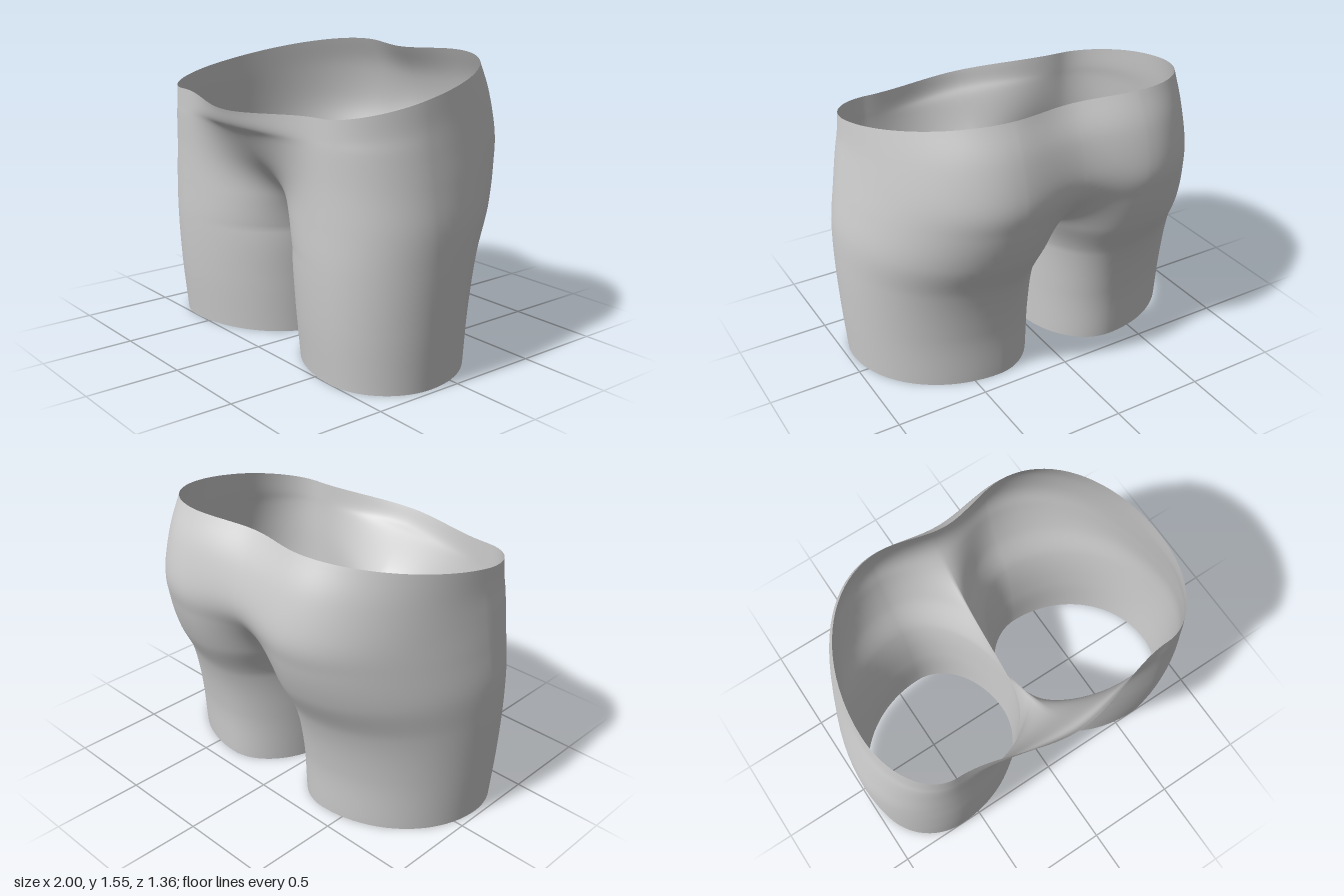
import * as THREE from 'three';
import { mergeGeometries, mergeVertices } from 'three/addons/utils/BufferGeometryUtils.js';

// Levels: height, forward tilt, z of centre front, z of thigh front, x of hip, z of seat, z of centre back
const LEVELS = [
  [0, 0, .04, .5, .97, -.405, .04],
  [.3, 0, .05, .53, .99, -.425, .05],
  [.6, 0, .05, .545, 1, -.495, .05],
  [.8, 0, .26, .545, .995, -.595, -.32],
  [1, 0, .46, .545, .965, -.66, -.56],
  [1.17, 0, .585, .55, .935, -.685, -.64],
  [1.3, .12, .64, .55, .915, -.64, -.6],
  [1.44, .2, .675, .55, .9, -.56, -.5],
];
const CROTCH = .6;    // height where the two legs join
const ROWS = 72;
const ARC = 22;       // faces in each quarter of a section
const HIP_Z = .15;    // depth of the widest point
const THIGH_X = .62;  // where the front is fullest
const SEAT_X = .36;   // where the back is fullest

// Curve from the inner seam (u = 0) to the fullest point (u = 1):
// round on a leg, an even wave where the body is joined
function innerArc(u, blend, x0, z0, x1, z1) {
  const a = u * Math.PI / 2;
  const fx = THREE.MathUtils.lerp(1 - Math.cos(a), u, blend);
  const fz = THREE.MathUtils.lerp(Math.sin(a), u * u * (3 - 2 * u), blend);
  return [x0 + (x1 - x0) * fx, z0 + (z1 - z0) * fz];
}

// Quarter ellipse from the fullest point (u = 0) to the hip (u = 1)
function outerArc(u, x0, z0, hip) {
  const a = u * Math.PI / 2;
  return [x0 + (hip - x0) * Math.sin(a), HIP_Z + (z0 - HIP_Z) * Math.cos(a)];
}

// Section from inner front, round the hip, to inner back
function section(y, front, thigh, hip, seat, back) {
  const inner = Math.max(0, .025 * (1 - y / CROTCH));
  const blend = THREE.MathUtils.smoothstep(y, CROTCH, 1.17);
  const points = [];
  for (let i = 0; i <= 4 * ARC; i++) {
    const q = Math.min(3, Math.floor(i / ARC));
    const u = i / ARC - q;
    if (q === 0) points.push(innerArc(u, blend, inner, front, THIGH_X, thigh));
    else if (q === 1) points.push(outerArc(u, THIGH_X, thigh, hip));
    else if (q === 2) points.push(outerArc(1 - u, SEAT_X, seat, hip));
    else points.push(innerArc(1 - u, blend, inner, back, SEAT_X, seat));
  }
  return points;
}

// One half: a closed tube below the crotch, an open half shell above it
function halfShell() {
  const spline = new THREE.CubicInterpolant(LEVELS.map((l) => l[0]), LEVELS.flat(), LEVELS[0].length);
  const top = LEVELS.at(-1)[0];
  const w = 4 * ARC + 1;
  const pos = [], index = [];
  for (let r = 0; r <= ROWS; r++) {
    const y = top * r / ROWS;
    const [, tilt, front, thigh, hip, seat, back] = spline.evaluate(y);
    const seam = (front + back) / 2;
    const isLeg = y <= CROTCH;
    for (const [x, z] of section(y, isLeg ? seam : front, thigh, hip, seat, isLeg ? seam : back)) {
      pos.push(x, y - tilt * z, z);
    }
    if (r === ROWS) break;
    for (let i = 0; i < w - 1; i++) {
      const a = r * w + i;
      index.push(a, a + 1, a + w, a + 1, a + w + 1, a + w);
    }
  }
  const g = new THREE.BufferGeometry();
  g.setAttribute('position', new THREE.Float32BufferAttribute(pos, 3));
  g.setIndex(index);
  return g;
}

// Flip to the other side of x = 0 and reverse the corner order
function mirrored(geometry) {
  const g = geometry.clone().scale(-1, 1, 1);
  const idx = g.index.array;
  for (let i = 0; i < idx.length; i += 3) [idx[i + 1], idx[i + 2]] = [idx[i + 2], idx[i + 1]];
  return g;
}

export function createModel() {
  const group = new THREE.Group();
  group.name = 'shorts';

  const cloth = new THREE.MeshStandardMaterial({ color: 0xcccccc, side: THREE.DoubleSide });
  cloth.name = 'lightGreyCloth';

  // Both halves welded into one smooth shell
  const left = halfShell();
  const shell = mergeVertices(mergeGeometries([left, mirrored(left)]), 1e-4);
  shell.computeVertexNormals();

  const mesh = new THREE.Mesh(shell, cloth);
  mesh.name = 'shortsShell';
  group.add(mesh);
  return group;
}
